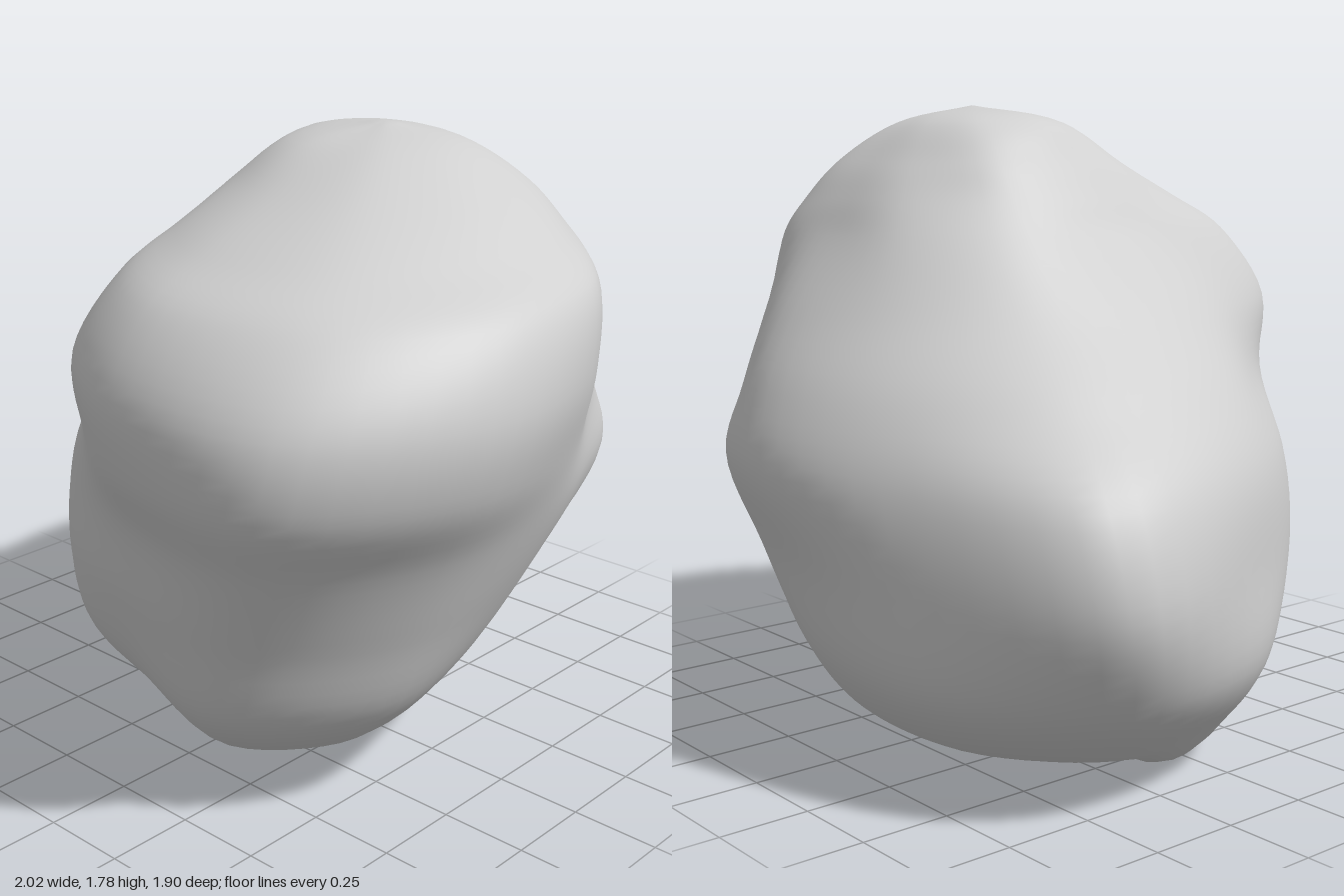
import * as THREE from 'three';

// Horizontal sections of the boulder: height, then twelve radii
// every 30 degrees, turning from +x towards +z.
const SECTIONS = [
  [0.05, 0.43, 0.5, 0.48, 0.28, 0.26, 0.38, 0.52, 0.58, 0.54, 0.48, 0.54, 0.42],
  [0.13, 0.54, 0.64, 0.66, 0.46, 0.44, 0.5, 0.64, 0.75, 0.76, 0.69, 0.64, 0.51],
  [0.3, 0.65, 0.8, 0.83, 0.64, 0.62, 0.64, 0.79, 0.97, 0.94, 0.82, 0.74, 0.61],
  [0.55, 0.72, 0.84, 0.89, 0.74, 0.71, 0.74, 0.87, 1.16, 0.99, 0.87, 0.82, 0.69],
  [0.8, 0.75, 0.87, 0.96, 0.79, 0.74, 0.78, 0.93, 1.18, 0.99, 0.94, 0.86, 0.73],
  [1.0, 0.76, 0.93, 1.04, 0.89, 0.76, 0.74, 0.88, 1.0, 0.92, 0.88, 0.76, 0.68],
  [1.2, 0.76, 0.93, 1.04, 0.94, 0.82, 0.72, 0.75, 0.79, 0.77, 0.74, 0.67, 0.64],
  [1.4, 0.71, 0.85, 0.93, 0.87, 0.73, 0.61, 0.56, 0.6, 0.59, 0.54, 0.57, 0.59],
  [1.5, 0.59, 0.69, 0.76, 0.71, 0.6, 0.53, 0.495, 0.51, 0.49, 0.45, 0.48, 0.5],
  [1.6, 0.44, 0.51, 0.55, 0.5, 0.45, 0.44, 0.425, 0.43, 0.38, 0.35, 0.37, 0.39],
  [1.71, 0.22, 0.24, 0.26, 0.25, 0.28, 0.3, 0.32, 0.3, 0.24, 0.2, 0.19, 0.2],
];
const AROUND = 72;
const UP = 72;
const BOTTOM = new THREE.Vector3(-0.1, 0.09, 0);
const TOP = new THREE.Vector3(0.18, 1.76, -0.13);

// Smooth closed ring through one section, about a leaning axis
function ring([y, ...radii]) {
  const cx = -0.1 + 0.3 * THREE.MathUtils.smoothstep(y, 0, 1.3);
  const cz = -0.15 * THREE.MathUtils.smoothstep(y, 1, 1.75);
  const points = radii.map((r, k) => {
    const a = (k * Math.PI) / 6;
    return new THREE.Vector3(cx + r * Math.cos(a), y, cz + r * Math.sin(a));
  });
  const curve = new THREE.CatmullRomCurve3(points, true);
  return Array.from({ length: AROUND }, (_, j) => curve.getPoint(j / AROUND));
}

function boulderGeometry() {
  const rings = SECTIONS.map(ring);
  // Smooth meridians from the underside to the crown
  const meridians = Array.from({ length: AROUND }, (_, j) =>
    new THREE.CatmullRomCurve3([BOTTOM, ...rings.map((r) => r[j]), TOP]));

  const positions = [];
  const add = (p) => {
    // Small pointed foot under the right side
    const d2 = (p.x + 0.57) ** 2 + (p.z + 0.08) ** 2;
    const foot = p.y < 0.25 ? 0.07 * Math.exp(-d2 / 0.012) * (1 - p.y / 0.25) : 0;
    positions.push(p.x, p.y - foot, p.z);
  };
  add(BOTTOM);
  for (let i = 1; i < UP; i++) meridians.forEach((m) => add(m.getPoint(i / UP)));
  add(TOP);

  // Shared poles and wrapped columns keep the normals smooth all round
  const last = 1 + (UP - 1) * AROUND;
  const id = (i, j) => (i === 0 ? 0 : i === UP ? last : 1 + (i - 1) * AROUND + (j % AROUND));
  const index = [];
  for (let i = 0; i < UP; i++) {
    for (let j = 0; j < AROUND; j++) {
      const a = id(i, j), b = id(i, j + 1), c = id(i + 1, j), d = id(i + 1, j + 1);
      if (i > 0) index.push(a, c, b);
      if (i < UP - 1) index.push(b, c, d);
    }
  }
  const geometry = new THREE.BufferGeometry();
  geometry.setAttribute('position', new THREE.Float32BufferAttribute(positions, 3));
  geometry.setIndex(index);

  // Stand the boulder on the ground, centred
  geometry.computeBoundingBox();
  const { min, max } = geometry.boundingBox;
  geometry.translate(-(min.x + max.x) / 2, -min.y, -(min.z + max.z) / 2);
  geometry.computeVertexNormals();
  return geometry;
}

export function createModel() {
  const stone = new THREE.MeshStandardMaterial({ color: 0xd0d0d0 });
  stone.name = 'stone grey';
  const boulder = new THREE.Mesh(boulderGeometry(), stone);
  boulder.name = 'boulder';
  const model = new THREE.Group();
  model.name = 'rock';
  model.add(boulder);
  return model;
}
